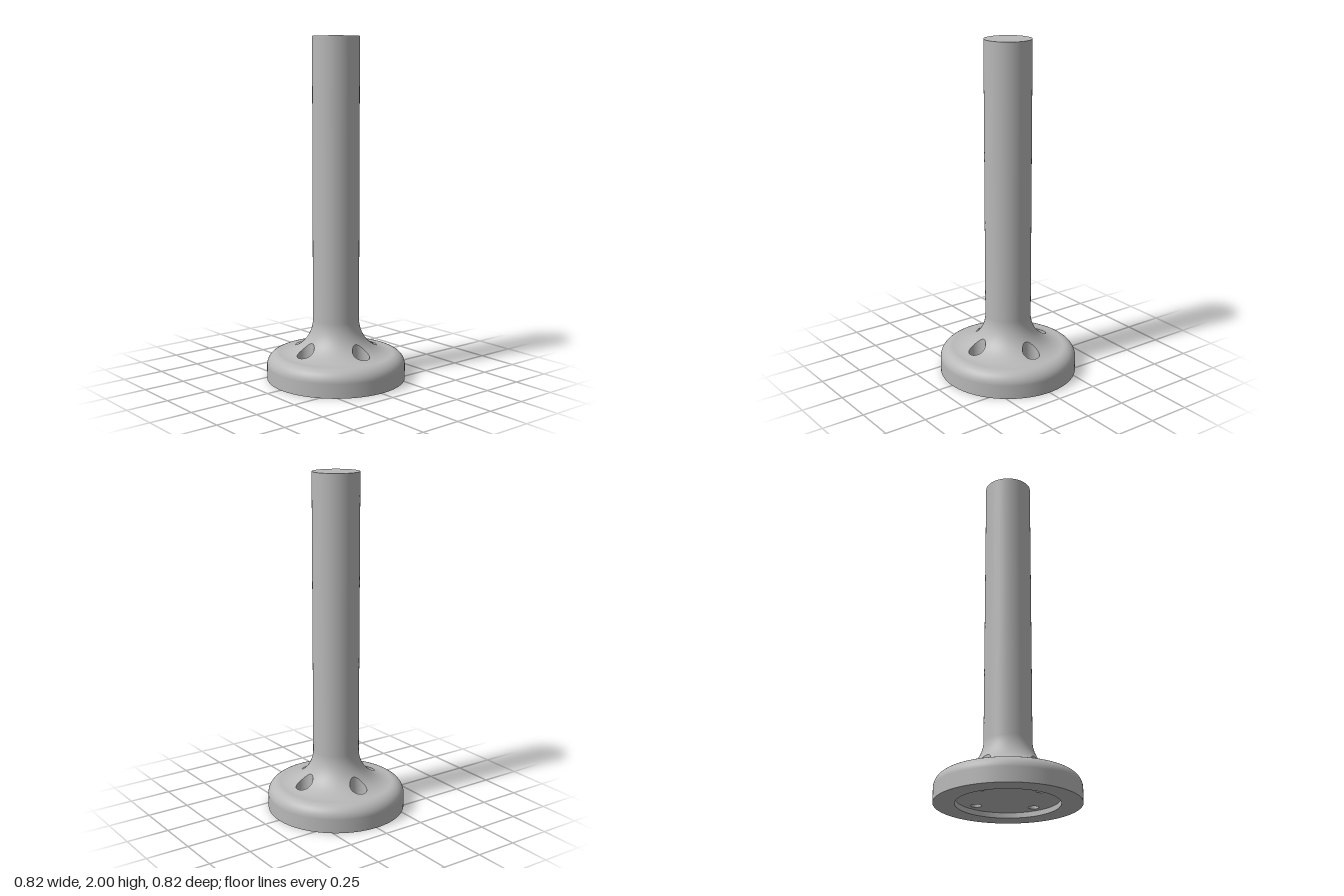
import * as THREE from 'three';

const SEG = 96;
const SHAFT_R = 0.136, BASE_R = 0.408, TOP = 2;
const FILLET = 0.2, CR = SHAFT_R + FILLET, CY = 0.355; // concave fillet and its centre
const ROUND = BASE_R - CR, ROUND_Y = CY - FILLET - ROUND; // rounded rim
const BOLT_R = 0.227, BORE_R = 0.05, HOLE_R = 0.03, BORE_Y = 0.1;
const RECESS_R = 0.289, RECESS_Y = 0.03;
const PATCH_IN = 0.15; // inner radius of the drilled part of the fillet

const filletY = (r) => CY - Math.sqrt(Math.max(0, FILLET ** 2 - (CR - r) ** 2));

// Points of an arc in the (radius, height) plane
function arc(cx, cy, rad, a0, a1, n) {
  return Array.from({ length: n + 1 }, (_, i) => {
    const a = a0 + ((a1 - a0) * i) / n;
    return [cx + rad * Math.cos(a), cy + rad * Math.sin(a)];
  });
}

// Surface from rows of points; each row is a closed loop
function loops(rows) {
  const n = rows[0].length, index = [];
  for (let j = 0; j < rows.length - 1; j++) {
    for (let i = 0; i < n; i++) {
      const k = (i + 1) % n;
      const a = j * n + i, b = j * n + k, c = a + n, d = b + n;
      index.push(a, b, c, b, d, c);
    }
  }
  const g = new THREE.BufferGeometry();
  g.setAttribute('position', new THREE.Float32BufferAttribute(rows.flat(2), 3));
  g.setIndex(index);
  g.computeVertexNormals();
  return g;
}

// Loop around one quarter of the fillet as [radius, angle]
function quarterOutline() {
  const q = Math.PI / 4, pts = [];
  const side = (r0, p0, r1, p1, n) => {
    for (let i = 0; i < n; i++) pts.push([r0 + ((r1 - r0) * i) / n, p0 + ((p1 - p0) * i) / n]);
  };
  side(CR, -q, CR, q, 24);
  side(CR, q, PATCH_IN, q, 16);
  side(PATCH_IN, q, PATCH_IN, -q, 24);
  side(PATCH_IN, -q, CR, -q, 16);
  return pts;
}

export function createModel() {
  const steel = new THREE.MeshStandardMaterial({ color: 0xb8b8b8, side: THREE.DoubleSide });
  steel.name = 'grey steel';
  const model = new THREE.Group();
  model.name = 'flangedPost';

  const add = (name, geometry, parent = model) => {
    const mesh = new THREE.Mesh(geometry, steel);
    mesh.name = name;
    parent.add(mesh);
    return mesh;
  };
  const turn = (name, pts, parent, seg = SEG) =>
    add(name, new THREE.LatheGeometry(pts.map(([r, y]) => new THREE.Vector2(r, y)), seg), parent);

  // Post
  turn('shaft', [[SHAFT_R, CY], [SHAFT_R, TOP]]);
  turn('shaftTop', [[SHAFT_R, TOP], [0, TOP]]);
  const cut = Math.PI + Math.acos((CR - PATCH_IN) / FILLET);
  turn('upperFillet', arc(CR, CY, FILLET, cut, Math.PI, 16));

  // Flange rim and underside
  turn('rim', [[BASE_R, 0], ...arc(CR, ROUND_Y, ROUND, 0, Math.PI / 2, 14)]);
  turn('bottomRing', [[RECESS_R, 0], [BASE_R, 0]]);
  turn('recessWall', [[RECESS_R, RECESS_Y], [RECESS_R, 0]]);
  const disc = new THREE.Shape().absarc(0, 0, RECESS_R, 0, Math.PI * 2);
  for (let k = 0; k < 4; k++) {
    const a = (k * Math.PI) / 2;
    disc.holes.push(new THREE.Path().absarc(BOLT_R * Math.cos(a), BOLT_R * Math.sin(a), HOLE_R, 0, Math.PI * 2, true));
  }
  add('recessCeiling', new THREE.ShapeGeometry(disc, 48).rotateX(Math.PI / 2).translate(0, RECESS_Y, 0));

  // Quarter of the fillet, spreading from the counterbore edge to its outline
  const outline = quarterOutline();
  const edge = outline.map(([r, p]) => {
    const a = Math.atan2(p * BOLT_R, r - BOLT_R);
    return [BOLT_R + BORE_R * Math.cos(a), BORE_R * Math.sin(a)];
  });
  const rows = [];
  for (let j = 0; j <= 12; j++) {
    const s = j / 12;
    rows.push(outline.map(([r1, p1], i) => {
      const [x, z] = edge[i];
      const r = THREE.MathUtils.lerp(Math.hypot(x, z), r1, s);
      const p = THREE.MathUtils.lerp(Math.atan2(z, x), p1, s);
      return [r * Math.cos(p), filletY(r), r * Math.sin(p)];
    }));
  }
  const patch = loops(rows);
  // Exact normals keep the joins between quarters smooth
  const pos = patch.attributes.position, nor = patch.attributes.normal;
  for (let i = 0; i < pos.count; i++) {
    const x = pos.getX(i), z = pos.getZ(i), r = Math.hypot(x, z);
    const h = (CR - r) / FILLET;
    nor.setXYZ(i, (h * x) / r, (CY - pos.getY(i)) / FILLET, (h * z) / r);
  }
  const boreWall = loops([
    edge.map(([x, z]) => [x, BORE_Y, z]),
    edge.map(([x, z]) => [x, filletY(Math.hypot(x, z)), z]),
  ]);

  // Four drilled quarters
  for (let k = 0; k < 4; k++) {
    const quarter = new THREE.Group();
    quarter.name = 'drilledQuarter' + (k + 1);
    quarter.rotation.y = (k * Math.PI) / 2;
    model.add(quarter);
    add('lowerFillet', patch, quarter);
    add('counterboreWall', boreWall, quarter);
    const floor = turn('counterboreFloor', [[BORE_R, BORE_Y], [HOLE_R, BORE_Y]], quarter, 48);
    const hole = turn('boltHole', [[HOLE_R, BORE_Y], [HOLE_R, RECESS_Y]], quarter, 48);
    floor.position.x = hole.position.x = BOLT_R;
  }
  return model;
}
